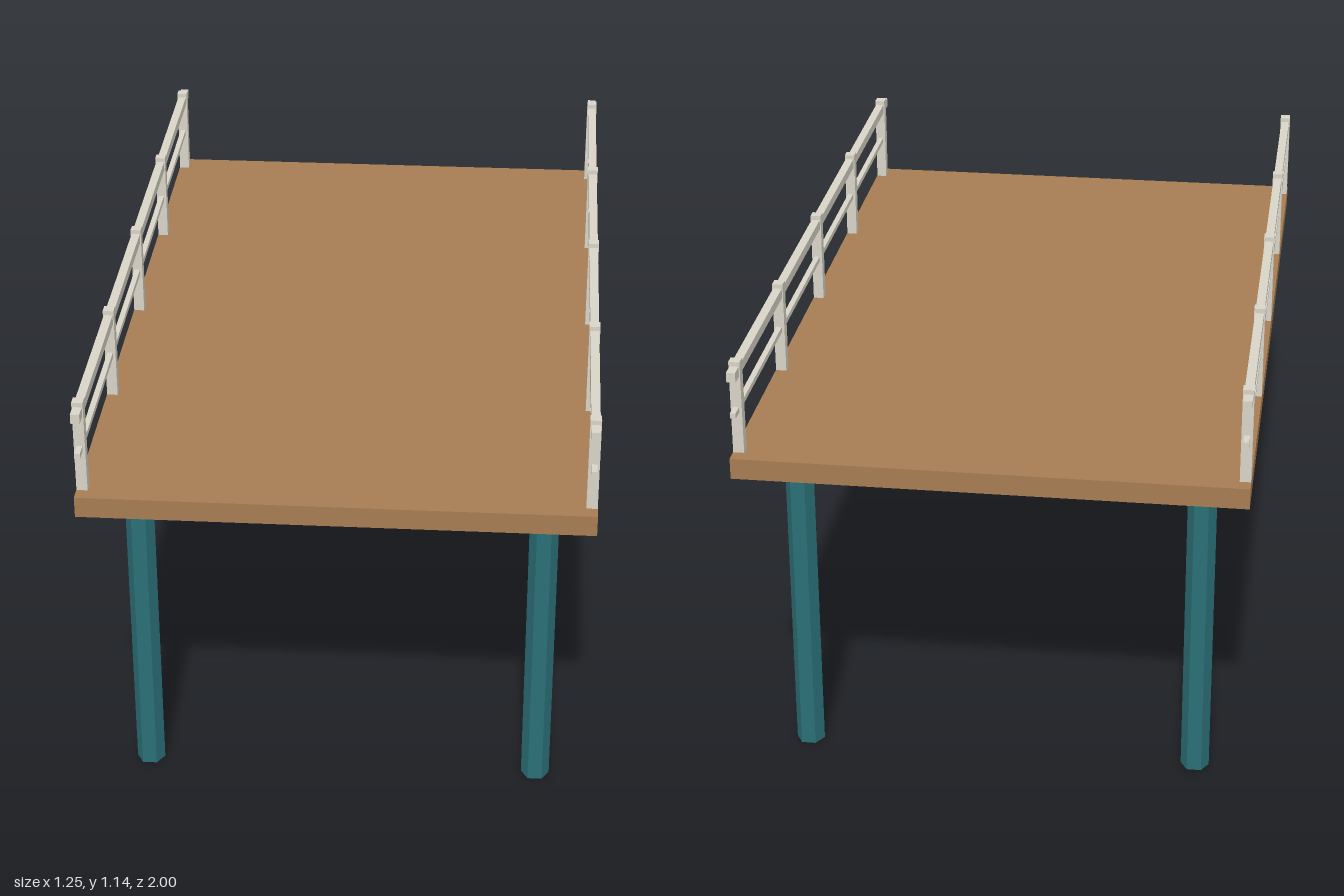
import * as THREE from 'three';

const wood = new THREE.MeshStandardMaterial({ color: 0xa67c52, flatShading: true });
const teal = new THREE.MeshStandardMaterial({ color: 0x2a6f77, flatShading: true });
const paint = new THREE.MeshStandardMaterial({ color: 0xd9d4c7, flatShading: true });

export function createModel() {
  const model = new THREE.Group();
  model.name = 'raisedDeck';

  const add = (parent, name, geometry, material, x, y, z) => {
    const mesh = new THREE.Mesh(geometry, material);
    mesh.name = name;
    mesh.position.set(x, y, z);
    parent.add(mesh);
    return mesh;
  };

  // Deck slab
  add(model, 'deck', new THREE.BoxGeometry(1.246, 0.053, 2), wood, 0, 0.8735, 0);

  // Six-sided columns, corners pointing along x, ending inside the slab
  const columnHeight = 0.89;
  const columnGeometry = new THREE.CylinderGeometry(0.036, 0.036, columnHeight, 6);
  columnGeometry.rotateY(Math.PI / 2);
  for (const x of [-0.5, 0.5]) {
    for (const z of [-0.8, 0.8]) {
      add(model, 'column', columnGeometry, teal, x, columnHeight / 2, z);
    }
  }

  // Railings along both long sides
  const postGeometry = new THREE.BoxGeometry(0.027, 0.239, 0.027);
  const topRailGeometry = new THREE.BoxGeometry(0.022, 0.025, 2);
  const midRailGeometry = new THREE.BoxGeometry(0.014, 0.014, 2);
  for (const side of [-1, 1]) {
    const railing = new THREE.Group();
    railing.name = side > 0 ? 'leftRailing' : 'rightRailing';
    railing.position.x = side * 0.609;
    for (let i = -2; i <= 2; i++) {
      add(railing, 'post', postGeometry, paint, 0, 1.0195, i * 0.475);
    }
    add(railing, 'topRail', topRailGeometry, paint, 0, 1.115, 0);
    add(railing, 'midRail', midRailGeometry, paint, 0, 1.015, 0);
    model.add(railing);
  }

  return model;
}
